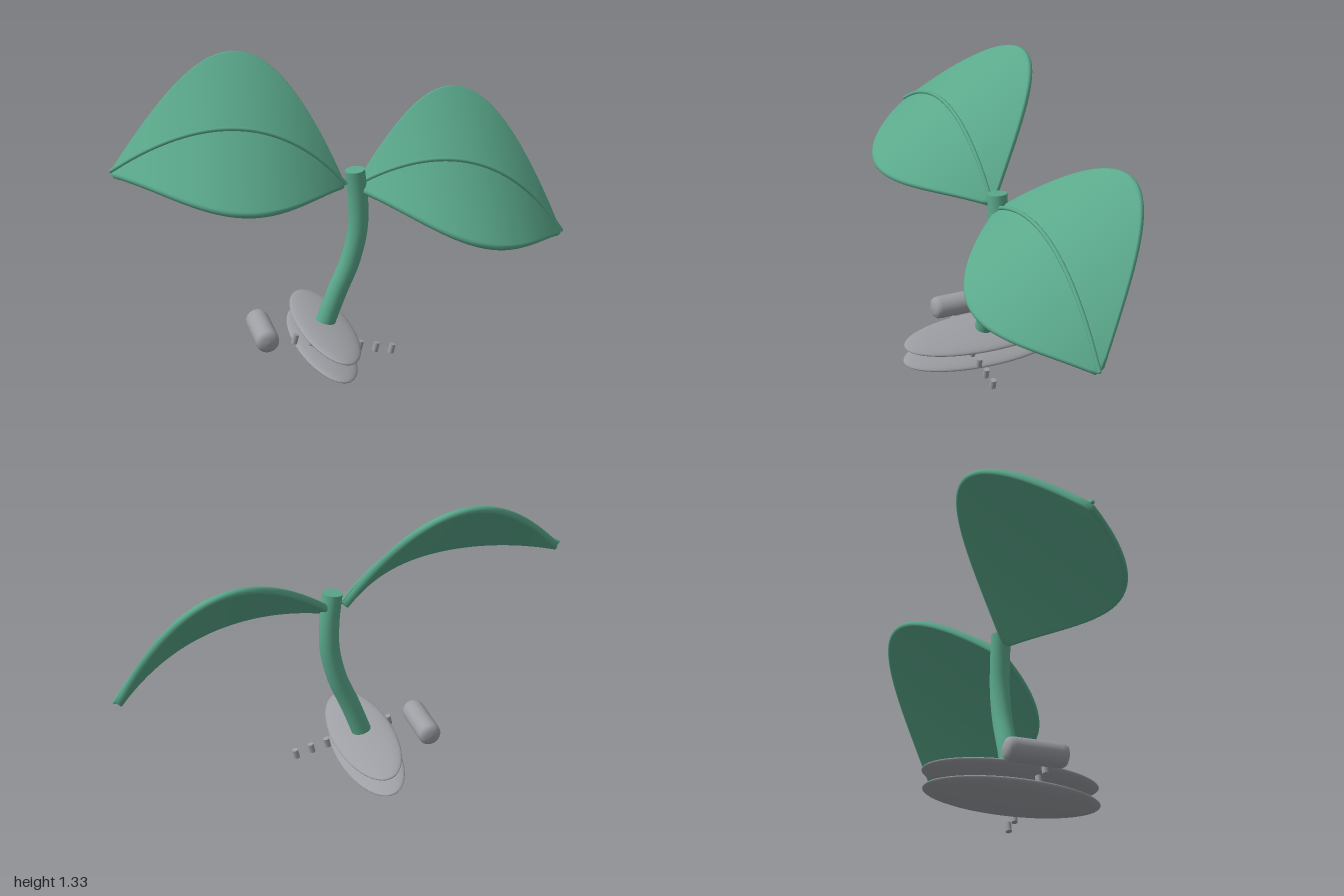
import * as THREE from 'three';

const TILT = -0.233; // lean of the whole sprout

export function createModel() {
  const green = new THREE.MeshStandardMaterial({ color: 0x5aa88b });
  green.name = 'leafGreen';
  const grey = new THREE.MeshStandardMaterial({ color: 0x9c9ea3 });
  grey.name = 'metalGrey';

  const model = new THREE.Group();
  model.name = 'sprout';
  const add = (parent, name, geometry, material, x = 0, y = 0, z = 0) => {
    const mesh = new THREE.Mesh(geometry, material);
    mesh.name = name;
    mesh.position.set(x, y, z);
    parent.add(mesh);
    return mesh;
  };

  // Leaves: flat, round-edged sections swept along an arched spine
  const across = new THREE.Vector3(0, -0.6, 0.8);
  const spineOf = (s) => new THREE.QuadraticBezierCurve3(
    new THREE.Vector3(0.035 * s, 0.07, 0),
    new THREE.Vector3(0.528 * s, 0.455, 0),
    new THREE.Vector3(1.02 * s, -0.012, 0));
  const upAt = (spine, t, s) =>
    new THREE.Vector3().crossVectors(across, spine.getTangent(t)).multiplyScalar(s).normalize();

  function leafGeometry(s) {
    const spine = spineOf(s), steps = 40, arc = 6, ring = 2 * (arc + 1), r = 0.016;
    const pos = [], index = [];
    const tri = (a, b, c) => (s > 0 ? index.push(a, b, c) : index.push(a, c, b));
    for (let i = 0; i <= steps; i++) {
      const t = i / steps, up = upAt(spine, t, s), mid = spine.getPoint(t);
      const flat = 0.006 + 0.402 * Math.sin(Math.PI * t);
      for (let k = 0; k < ring; k++) {
        const side = k <= arc ? 1 : -1;
        const a = (k <= arc ? k : k - 1) * Math.PI / arc - Math.PI / 2;
        const p = mid.clone()
          .addScaledVector(across, side * flat + r * Math.cos(a))
          .addScaledVector(up, r * Math.sin(a));
        pos.push(p.x, p.y, p.z);
      }
    }
    for (let i = 0; i < steps; i++) {
      for (let k = 0; k < ring; k++) {
        const a = i * ring + k, b = i * ring + (k + 1) % ring;
        tri(a, a + ring, b);
        tri(b, a + ring, b + ring);
      }
    }
    const last = steps * ring;
    for (let k = 1; k < ring - 1; k++) {
      tri(0, k, k + 1);
      tri(last, last + k + 1, last + k);
    }
    const g = new THREE.BufferGeometry();
    g.setAttribute('position', new THREE.Float32BufferAttribute(pos, 3));
    g.setIndex(index);
    g.computeVertexNormals();
    return g;
  }

  const leaves = new THREE.Group();
  leaves.name = 'leaves';
  leaves.position.set(-0.003, 0.725, 0);
  leaves.rotation.z = TILT;
  model.add(leaves);
  for (const [s, side] of [[1, 'left'], [-1, 'right']]) {
    add(leaves, side + 'Leaf', leafGeometry(s), green);
    // Raised midrib with rounded ends
    const spine = spineOf(s), points = [];
    for (let i = 0; i <= 12; i++) {
      points.push(spine.getPoint(i / 12).addScaledVector(upAt(spine, i / 12, s), 0.02));
    }
    const path = new THREE.CatmullRomCurve3(points);
    add(leaves, side + 'Midrib', new THREE.TubeGeometry(path, 48, 0.009, 10), green);
    for (const p of [points[0], points[12]]) {
      add(leaves, side + 'MidribEnd', new THREE.SphereGeometry(0.009, 10, 8), green, p.x, p.y, p.z);
    }
  }

  // Curved stem with a flat top
  const stemPath = new THREE.CatmullRomCurve3([
    [-0.105, 0.14], [-0.045, 0.3], [0.017, 0.45], [0.05, 0.6], [0.05, 0.74], [0.036, 0.867],
  ].map(([x, y]) => new THREE.Vector3(x, y, 0.003)));
  add(model, 'stem', new THREE.TubeGeometry(stemPath, 48, 0.044, 28), green);
  const cap = add(model, 'stemTop', new THREE.CircleGeometry(0.044, 28), green, 0.036, 0.867, 0.003);
  cap.lookAt(cap.position.clone().add(stemPath.getTangent(1)));

  // Two flattened oval discs at the base
  for (const [name, x, y] of [['upperDisc', -0.102, 0.137], ['lowerDisc', -0.117, 0.053]]) {
    const disc = add(model, name, new THREE.SphereGeometry(1, 48, 24), grey, x, y, 0);
    disc.scale.set(0.136, 0.027, 0.39);
    disc.rotation.z = TILT;
  }

  // Row of small pegs running through the gap between the discs
  for (let i = 0; i < 7; i++) {
    const peg = add(model, 'peg', new THREE.CylinderGeometry(0.0135, 0.0135, 0.042, 16), grey,
      -0.256 + i * 0.0735, 0.135 - i * 0.017, 0.09);
    peg.rotation.z = TILT;
  }

  // Round-ended roller beside the base
  const profile = [[0, -0.138], [0.025, -0.136], [0.042, -0.129], [0.05, -0.117], [0.052, -0.1],
    [0.052, 0.1], [0.05, 0.117], [0.042, 0.129], [0.025, 0.136], [0, 0.138]]
    .map(([x, y]) => new THREE.Vector2(x, y));
  add(model, 'roller', new THREE.LatheGeometry(profile, 32), grey, -0.384, 0.15, 0.003)
    .rotation.x = Math.PI / 2;

  return model;
}
